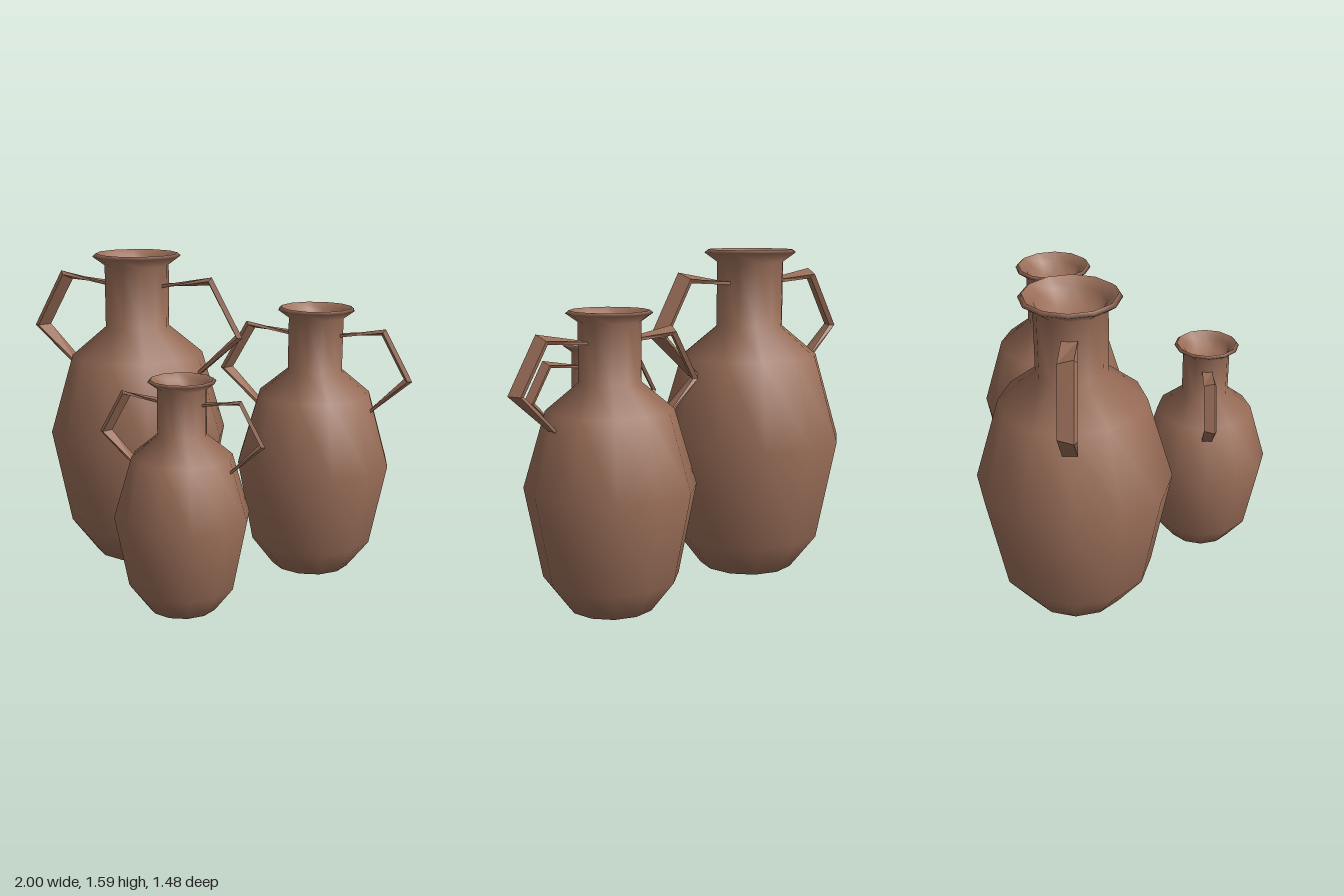
import * as THREE from 'three';

const clay = new THREE.MeshStandardMaterial({ color: 0x9a6e58 });
clay.name = 'terracotta';
const clayFlat = clay.clone();
clayFlat.name = 'terracotta faceted';
clayFlat.flatShading = true;

const lathe = (name, pts) => {
  const geo = new THREE.LatheGeometry(pts.map(([r, y]) => new THREE.Vector2(r, y)), 12);
  const mesh = new THREE.Mesh(geo, clay);
  mesh.name = name;
  return mesh;
};

// Twisted, angular strap swept through four flat cross-sections
function handleGeometry(side) {
  // x, y, half width, half thickness, twist, direction of the outward edge
  const sections = [
    [0.15, 1.44, 0.036, 0.008, 0, 1.6],
    [0.405, 1.472, 0.04, 0.014, 0.45, 0.95],
    [0.557, 1.2, 0.04, 0.014, 0.45, 0.0],
    [0.345, 1.0, 0.034, 0.008, 0, -0.8],
  ];
  const pos = [];
  const index = [];
  for (const [x, y, w, t, twist, dir] of sections) {
    for (const [a, b] of [[1, 1], [-1, 1], [-1, -1], [1, -1]]) {
      const z = a * w * Math.cos(twist) - b * t * Math.sin(twist);
      const out = a * w * Math.sin(twist) + b * t * Math.cos(twist);
      pos.push(side * (x + out * Math.cos(dir)), y + out * Math.sin(dir), z);
    }
  }
  const quad = (a, b, c, d) => (side > 0
    ? index.push(a, b, c, a, c, d)
    : index.push(a, c, b, a, d, c));
  for (let i = 0; i < sections.length - 1; i++) {
    for (let j = 0; j < 4; j++) {
      const k = (j + 1) % 4;
      quad(i * 4 + j, i * 4 + 4 + j, i * 4 + 4 + k, i * 4 + k);
    }
  }
  quad(0, 1, 2, 3);
  quad(15, 14, 13, 12);
  const geo = new THREE.BufferGeometry();
  geo.setAttribute('position', new THREE.Float32BufferAttribute(pos, 3));
  geo.setIndex(index);
  geo.computeVertexNormals();
  return geo;
}

function amphora(name) {
  const jar = new THREE.Group();
  jar.name = name;
  // Belly, shoulder, neck and flared lip
  jar.add(lathe('body', [
    [0, 0.01], [0.235, 0.01], [0.365, 0.18], [0.46, 0.67], [0.34, 1.08],
    [0.165, 1.225], [0.165, 1.54], [0.228, 1.585], [0.21, 1.6],
  ]));
  // Hollow of the mouth
  jar.add(lathe('mouth', [
    [0.21, 1.6], [0.16, 1.56], [0.13, 1.48], [0, 1.47],
  ]));
  for (const side of [1, -1]) {
    const handle = new THREE.Mesh(handleGeometry(side), clayFlat);
    handle.name = side > 0 ? 'leftHandle' : 'rightHandle';
    jar.add(handle);
  }
  return jar;
}

export function createModel() {
  const group = new THREE.Group();
  group.name = 'amphorae';
  // name, x, z, scale
  for (const [name, x, z, s] of [
    ['largeJar', -0.42, -0.225, 1],
    ['mediumJar', 0.5, -0.355, 0.847],
    ['smallJar', 0.09, 0.415, 0.694],
  ]) {
    const jar = amphora(name);
    jar.position.set(x, 0, z);
    jar.scale.setScalar(s);
    group.add(jar);
  }
  return group;
}
